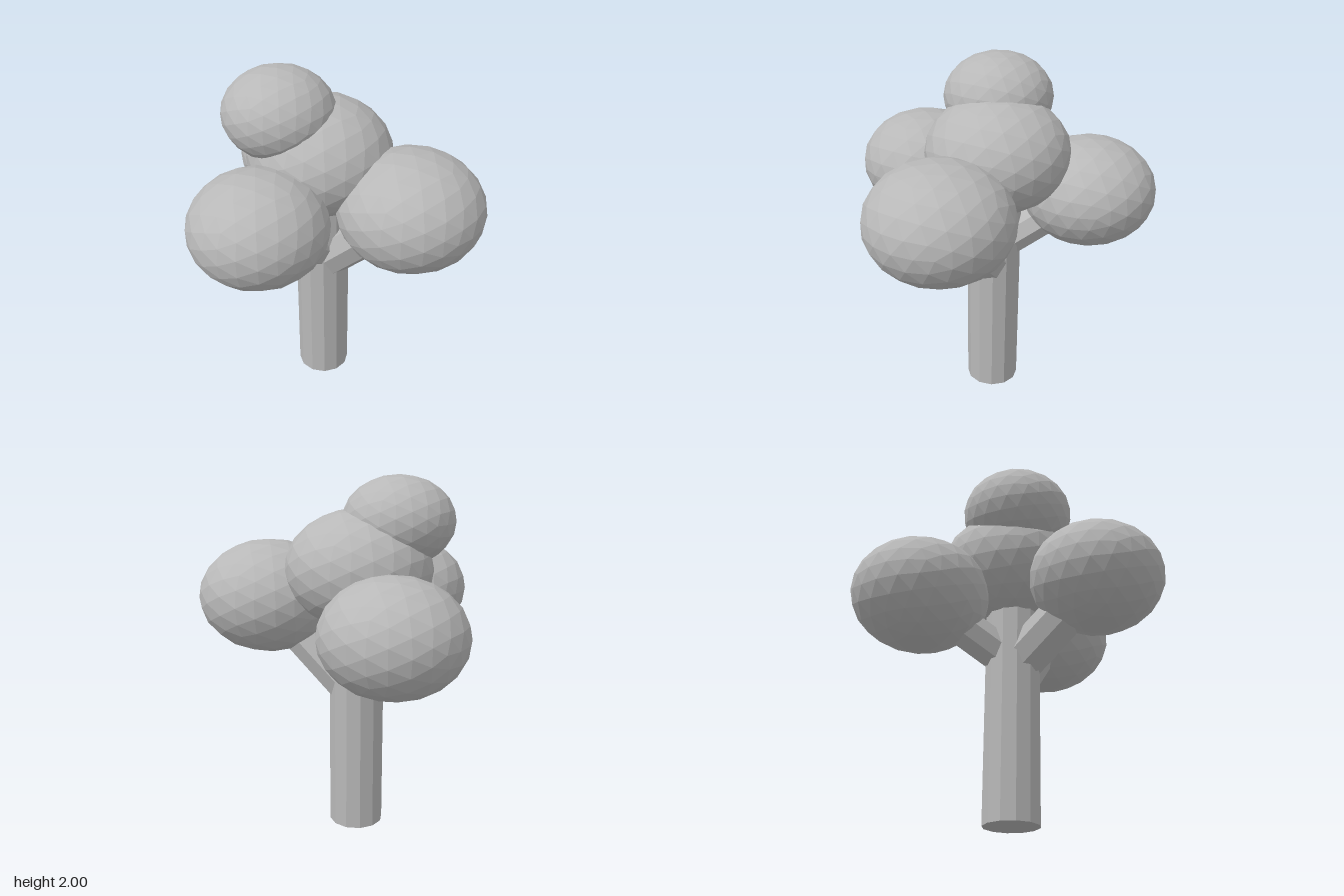
import * as THREE from 'three';

const grey = new THREE.MeshStandardMaterial({ color: 0xb8b8b8, flatShading: true });
grey.name = 'grey';

const TRUNK_X = -0.105, TRUNK_Z = -0.055;

// Straight limb between two points, with a corner of its section facing down
function limb(name, from, to, radius, sides) {
  const length = from.distanceTo(to);
  const mesh = new THREE.Mesh(new THREE.CylinderGeometry(radius, radius, length, sides), grey);
  mesh.name = name;
  const y = to.clone().sub(from).normalize();
  const x = new THREE.Vector3(0, 1, 0).cross(y);
  if (x.lengthSq() < 1e-6) x.set(1, 0, 0);
  x.normalize();
  const z = x.clone().cross(y);
  mesh.quaternion.setFromRotationMatrix(new THREE.Matrix4().makeBasis(x, y, z));
  mesh.position.copy(from).lerp(to, 0.5);
  return mesh;
}

// Squashed low-poly ball of leaves
function foliage(name, [x, y, z], radius, height) {
  const mesh = new THREE.Mesh(new THREE.IcosahedronGeometry(1, 3), grey);
  mesh.name = name;
  mesh.position.set(x, y, z);
  mesh.scale.set(radius, height, radius);
  return mesh;
}

export function createModel() {
  const tree = new THREE.Group();
  tree.name = 'tree';

  const onTrunk = (y) => new THREE.Vector3(TRUNK_X, y, TRUNK_Z);
  tree.add(limb('trunk', onTrunk(0), onTrunk(1.3), 0.154, 12));

  // Leaf balls; those with a branch are joined to the trunk at that height
  const balls = [
    { name: 'Left', at: [0.435, 1.31, -0.055], r: 0.405, h: 0.322, branchY: 0.8, branchR: 0.132 },
    { name: 'Front', at: [-0.195, 1.312, 0.475], r: 0.377, h: 0.302, branchY: 0.88, branchR: 0.127 },
    { name: 'Back', at: [-0.46, 1.245, -0.47], r: 0.385, h: 0.308, branchY: 0.92, branchR: 0.11 },
    { name: 'Centre', at: [-0.12, 1.5, -0.065], r: 0.407, h: 0.326 },
    { name: 'Top', at: [-0.305, 1.755, 0.045], r: 0.31, h: 0.247 },
  ];
  for (const b of balls) {
    tree.add(foliage('foliage' + b.name, b.at, b.r, b.h));
    if (b.branchY) {
      const end = new THREE.Vector3(...b.at);
      tree.add(limb('branch' + b.name, onTrunk(b.branchY), end, b.branchR, 8));
    }
  }
  return tree;
}
